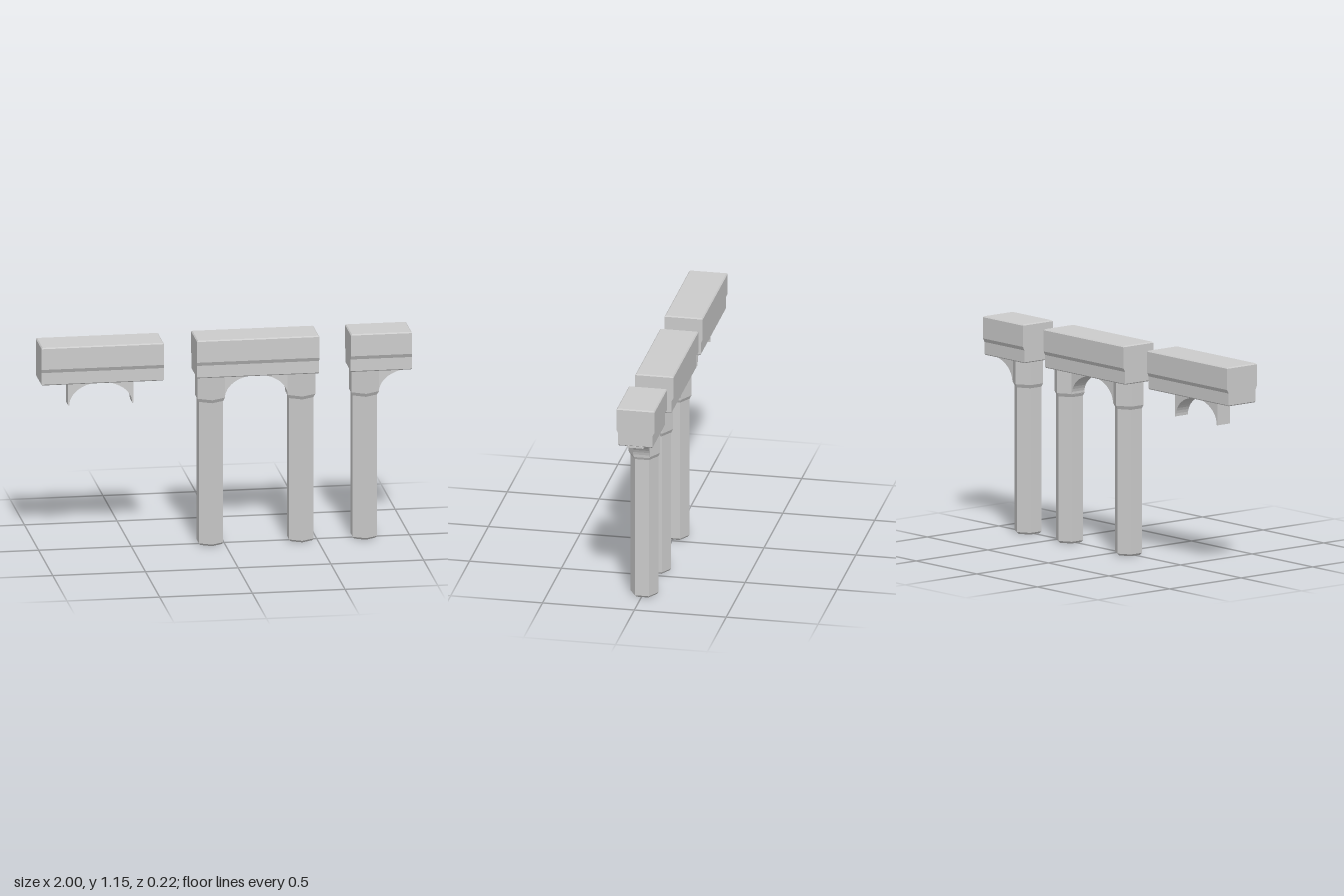
import * as THREE from 'three';

const material = new THREE.MeshStandardMaterial({ color: 0xcccccc, flatShading: true });

function addMesh(parent, name, geometry, x, y, z) {
  const mesh = new THREE.Mesh(geometry, material);
  mesh.name = name;
  mesh.position.set(x, y, z);
  parent.add(mesh);
}

// Rectangular cross-sections [y, half length, half depth] joined from bottom to top
function stackedBlock(sections) {
  const points = [];
  const index = [];
  for (const [y, hx, hz] of sections) {
    points.push(-hx, y, hz, hx, y, hz, hx, y, -hz, -hx, y, -hz);
  }
  const top = (sections.length - 1) * 4;
  for (let s = 0; s < top; s += 4) {
    for (let i = 0; i < 4; i++) {
      const a = s + i;
      const b = s + (i + 1) % 4;
      index.push(a, b, b + 4, a, b + 4, a + 4);
    }
  }
  index.push(0, 2, 1, 0, 3, 2, top, top + 1, top + 2, top, top + 2, top + 3);
  const indexed = new THREE.BufferGeometry();
  indexed.setAttribute('position', new THREE.Float32BufferAttribute(points, 3));
  indexed.setIndex(index);
  const geometry = indexed.toNonIndexed();
  geometry.computeVertexNormals();
  return geometry;
}

// Beam with a wider upper band and slightly chamfered rims
function beamGeometry(half) {
  return stackedBlock([
    [0.94, half - 0.004, 0.09],
    [0.945, half, 0.094],
    [1.01, half, 0.094],
    [1.03, half, 0.104],
    [1.145, half, 0.104],
    [1.151, half - 0.006, 0.098],
  ]);
}

// Hexagonal shaft with a chamfered foot and a flared capital
function columnGeometry() {
  const profile = [
    [0, 0], [0.066, 0], [0.076, 0.011], [0.076, 0.795],
    [0.086, 0.814], [0.086, 0.943], [0, 0.943],
  ].map(([r, y]) => new THREE.Vector2(r, y));
  return new THREE.LatheGeometry(profile, 6);
}

// Elliptical arch under a beam; a half arch stops at its crown
function archGeometry(isHalf) {
  const outer = 0.176, inner = 0.17, spring = 0.81, rise = 0.122, top = 0.943;
  const end = isHalf ? 0 : outer;
  const shape = new THREE.Shape();
  shape.moveTo(-outer, spring);
  const steps = isHalf ? 12 : 24;
  for (let i = 0; i <= steps; i++) {
    const a = Math.PI * (1 - i / 24);
    shape.lineTo(inner * Math.cos(a), spring + rise * Math.sin(a));
  }
  if (!isHalf) shape.lineTo(outer, spring);
  shape.lineTo(end, top);
  shape.lineTo(-outer, top);
  const depth = 0.086;
  return new THREE.ExtrudeGeometry(shape, { depth, bevelEnabled: false })
    .translate(0, 0, -depth / 2);
}

export function createModel() {
  const model = new THREE.Group();
  model.name = 'colonnade';

  // Each bay: beam centre and half length, arch centre, columns and depth offset
  const bays = [
    { name: 'hangingBay', beam: -0.67, half: 0.33, arch: -0.672, columns: [], z: 0.007 },
    { name: 'fullBay', beam: 0.17, half: 0.33, arch: 0.169, columns: [-0.075, 0.412], z: -0.006 },
    { name: 'halfBay', beam: 0.835, half: 0.165, arch: 1, columns: [0.755], z: -0.006 },
  ];

  for (const bay of bays) {
    const group = new THREE.Group();
    group.name = bay.name;
    addMesh(group, 'beam', beamGeometry(bay.half), bay.beam, 0, bay.z);
    addMesh(group, 'arch', archGeometry(bay.name === 'halfBay'), bay.arch, 0, bay.z);
    for (const x of bay.columns) addMesh(group, 'column', columnGeometry(), x, 0, bay.z + 0.002);
    model.add(group);
  }
  return model;
}
